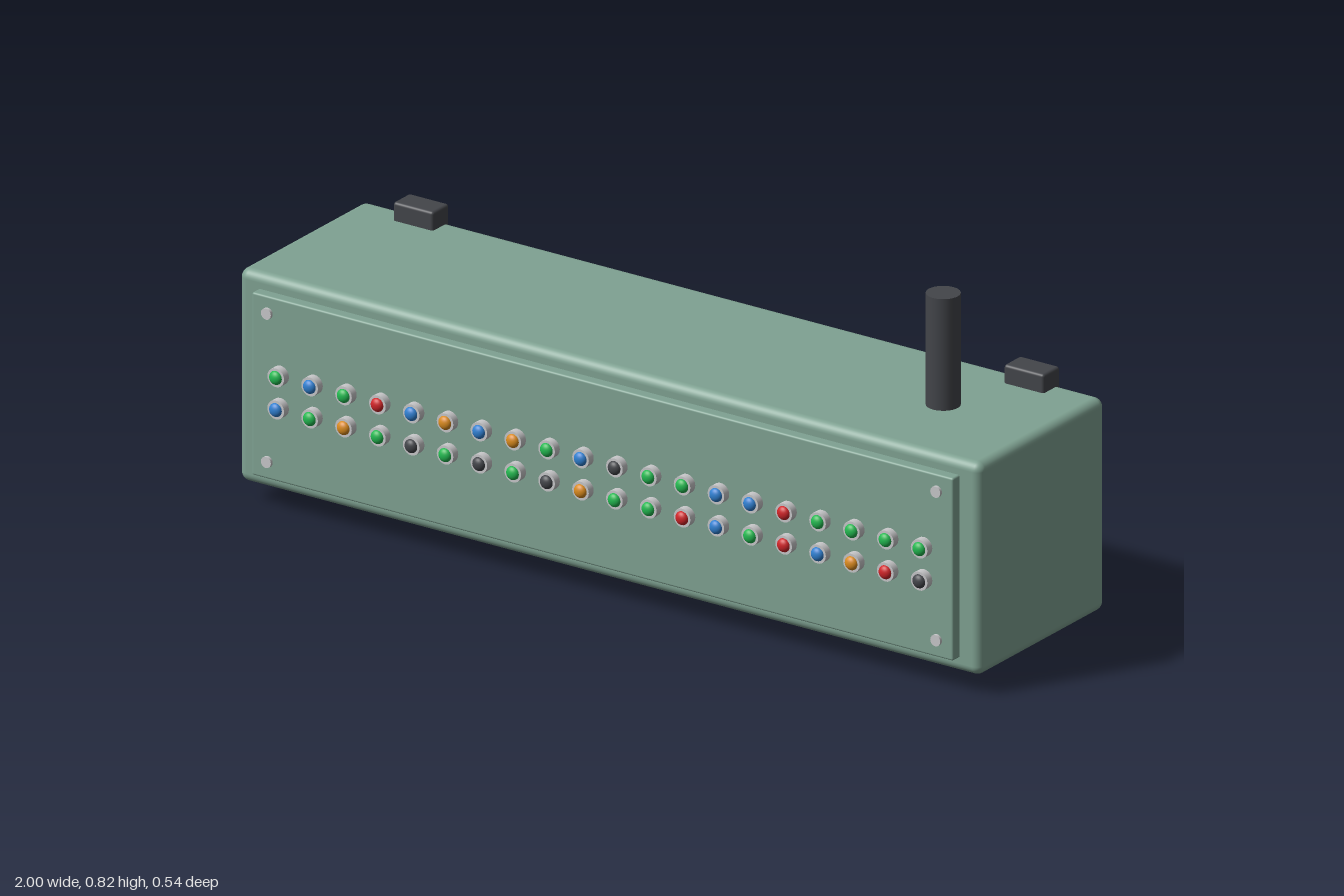
import * as THREE from 'three';
import { RoundedBoxGeometry } from 'three/addons/geometries/RoundedBoxGeometry.js';

const paint = (name, color) => {
  const m = new THREE.MeshStandardMaterial({ color });
  m.name = name;
  return m;
};

export function createModel() {
  const model = new THREE.Group();
  model.name = 'controlBox';

  const green = paint('case green', 0x7fa292);
  const dark = paint('dark plastic', 0x43454a);
  const silver = paint('silver metal', 0xc8c8ca);
  const lampColours = {
    g: paint('green lamp', 0x22b850),
    b: paint('blue lamp', 0x2f7fd0),
    r: paint('red lamp', 0xd02428),
    o: paint('amber lamp', 0xd98a1e),
    k: dark,
  };

  const add = (parent, name, geometry, material, x, y, z) => {
    const mesh = new THREE.Mesh(geometry, material);
    mesh.name = name;
    mesh.position.set(x, y, z);
    parent.add(mesh);
    return mesh;
  };

  // Rounded box given by its lower and upper corners
  const block = (name, lo, hi, radius, material) => {
    const size = hi.map((v, i) => v - lo[i]);
    const mid = hi.map((v, i) => (v + lo[i]) / 2);
    return add(model, name, new RoundedBoxGeometry(...size, 4, radius), material, ...mid);
  };

  // Case and raised front panel
  block('case', [-1, 0.047, -0.27], [1, 0.556, 0.217], 0.022, green);
  block('frontPanel', [-0.945, 0.083, 0.205], [0.945, 0.52, 0.243], 0.005, green);

  // Mounting bars run through the back, set just under its surface
  for (const x of [-0.823, 0.823]) {
    block('mountingBar', [x - 0.054, 0, -0.269], [x + 0.054, 0.6, -0.205], 0.007, dark);
  }

  // Upright rod on the lid
  add(model, 'rod', new THREE.CylinderGeometry(0.039, 0.039, 0.283, 32), dark, 0.73, 0.6815, -0.028);

  // Panel screws
  const screw = new THREE.CylinderGeometry(0.0135, 0.0135, 0.012, 16).rotateX(Math.PI / 2);
  for (const x of [-0.902, 0.902]) {
    for (const y of [0.125, 0.48]) add(model, 'screw', screw, silver, x, y, 0.244);
  }

  // Two rows of lamps, each a bezel with a shallow dome
  const bezel = new THREE.CylinderGeometry(0.0225, 0.0225, 0.022, 20).rotateX(Math.PI / 2);
  const dome = new THREE.SphereGeometry(0.0165, 20, 8, 0, Math.PI * 2, 0, Math.PI / 2)
    .rotateX(Math.PI / 2)
    .scale(1, 1, 0.7);
  const rows = [
    { y: 0.34, code: 'gbgrbobogbkggbbrgggg' },
    { y: 0.263, code: 'bgogkgkgkoggrbgrbork' },
  ];
  for (const { y, code } of rows) {
    [...code].forEach((key, i) => {
      const lamp = new THREE.Group();
      lamp.name = 'lamp';
      lamp.position.set(-0.867 + i * 0.09126, y, 0);
      add(lamp, 'bezel', bezel, silver, 0, 0, 0.251);
      add(lamp, 'lens', dome, lampColours[key], 0, 0, 0.2615);
      model.add(lamp);
    });
  }

  return model;
}
